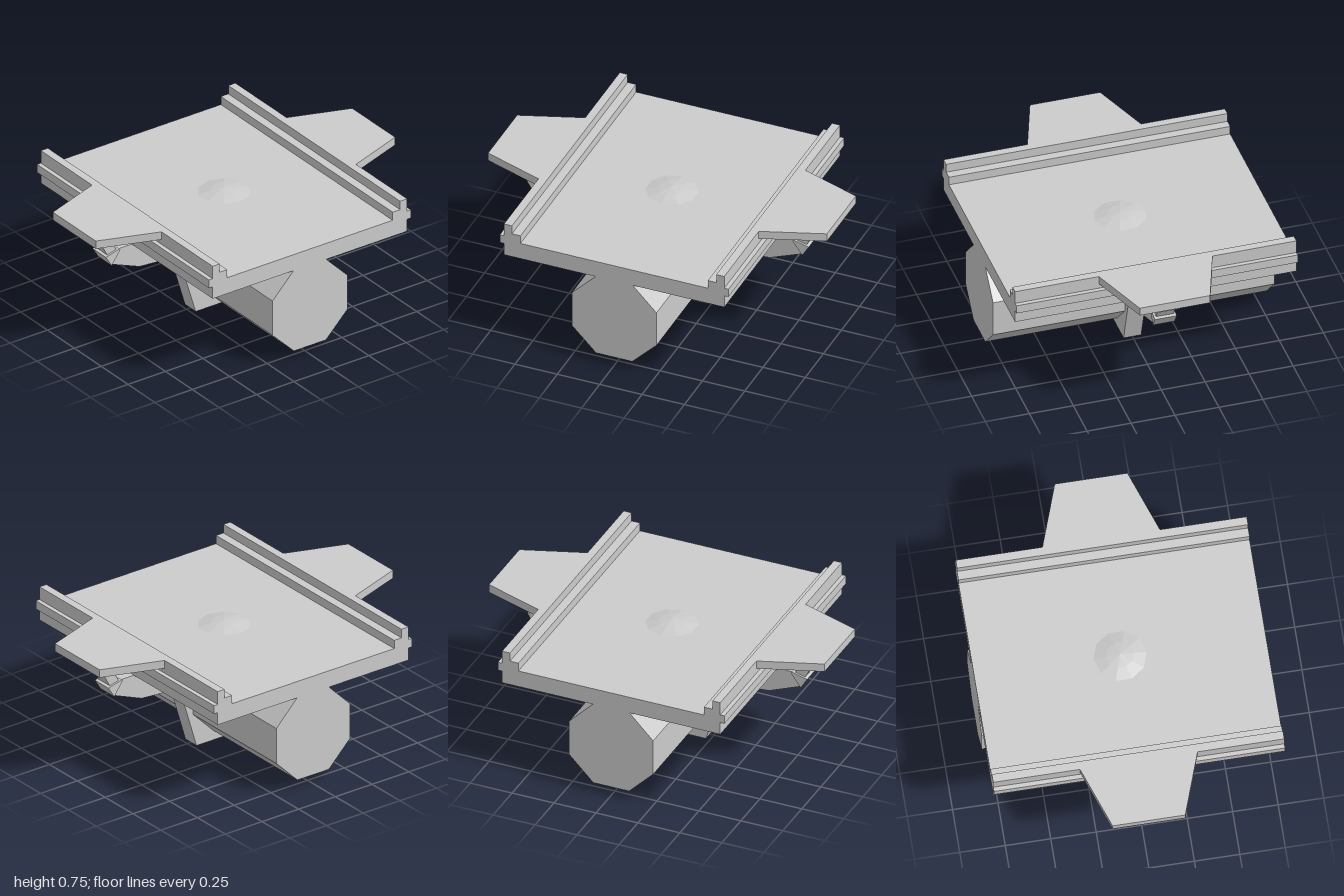
import * as THREE from 'three';

const material = new THREE.MeshStandardMaterial({ color: 0xcccccc, flatShading: true });

function shapeOf(points) {
  return new THREE.Shape(points.map(([x, y]) => new THREE.Vector2(x, y)));
}

// Left-right symmetric outline from its +x half
function mirrored(half) {
  return [...half, ...half.map(([x, y]) => [-x, y]).reverse()];
}

// Outline in the x-y plane, extruded evenly to both sides of z = 0
function extrudeZ(name, points, halfDepth) {
  const geo = new THREE.ExtrudeGeometry(shapeOf(points), { depth: 2 * halfDepth, bevelEnabled: false });
  geo.translate(0, 0, -halfDepth);
  const mesh = new THREE.Mesh(geo, material);
  mesh.name = name;
  return mesh;
}

// Horizontal plate tapering away from the deck
function taperedPlate(name, side, xIn, xOut, zIn, zOut, y0, y1) {
  const pts = [[xIn, -zIn], [xOut, -zOut], [xOut, zOut], [xIn, zIn]].map(([x, z]) => [side * x, z]);
  const geo = new THREE.ExtrudeGeometry(shapeOf(pts), { depth: y1 - y0, bevelEnabled: false });
  geo.rotateX(-Math.PI / 2).translate(0, y0, 0);
  const mesh = new THREE.Mesh(geo, material);
  mesh.name = name;
  return mesh;
}

export function createModel() {
  const group = new THREE.Group();
  group.name = 'deckModule';

  // Deck with stepped side rails
  group.add(extrudeZ('deck', mirrored([
    [0.65, 0.553], [0.65, 0.627], [0.675, 0.627], [0.675, 0.677], [0.65, 0.677],
    [0.65, 0.754], [0.603, 0.754], [0.603, 0.702], [0.553, 0.702], [0.553, 0.652],
  ]), 0.8));

  // Eight-sided keel slung under the deck
  group.add(extrudeZ('keel', mirrored([
    [0.107, 0.054], [0.25, 0.197], [0.25, 0.41], [0.107, 0.555],
  ]), 0.8));

  // Central cross rib
  group.add(extrudeZ('crossRib', mirrored([
    [0.225, 0], [0.34, 0.38], [0.6, 0.4], [0.79, 0.475], [0.74, 0.556],
  ]), 0.05));

  // Shallow faceted dome on the deck
  const dome = new THREE.Mesh(new THREE.LatheGeometry([
    new THREE.Vector2(0.15, 0.651), new THREE.Vector2(0.075, 0.668), new THREE.Vector2(0, 0.678),
  ], 10), material);
  dome.name = 'dome';
  group.add(dome);

  // Side platforms with their brackets and struts
  for (const side of [1, -1]) {
    const flip = (pts) => pts.map(([x, y]) => [side * x, y]);
    const label = side > 0 ? 'left' : 'right';
    group.add(
      taperedPlate(label + 'Platform', side, 0.645, 1, 0.325, 0.2, 0.706, 0.754),
      taperedPlate(label + 'Bracket', side, 0.645, 0.9, 0.1, 0.06, 0.628, 0.676),
      extrudeZ(label + 'Strut', flip([[0.75, 0.545], [0.81, 0.53], [0.905, 0.708], [0.84, 0.708]]), 0.05),
      extrudeZ(label + 'Joint', flip([[0.737, 0.553], [0.795, 0.474], [0.834, 0.537], [0.742, 0.561]]), 0.062),
    );
  }
  return group;
}
